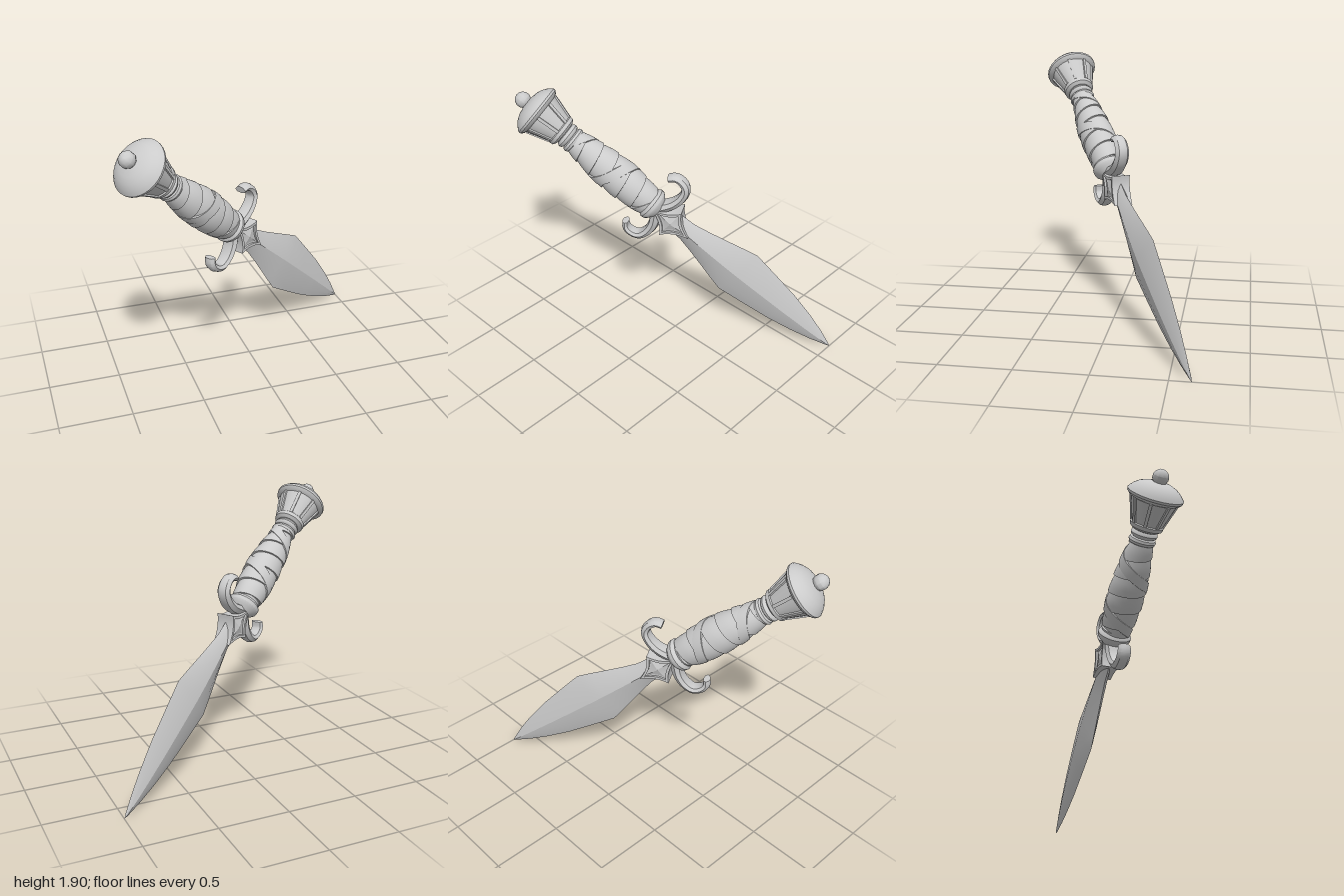
import * as THREE from 'three';
import { toCreasedNormals } from 'three/addons/utils/BufferGeometryUtils.js';

const material = new THREE.MeshStandardMaterial({ color: 0xcccccc, side: THREE.DoubleSide });

function add(parent, name, geometry, crease = 0.6) {
  const mesh = new THREE.Mesh(toCreasedNormals(geometry, crease), material);
  mesh.name = name;
  parent.add(mesh);
  return mesh;
}

// Skin a grid of cross-sections; closed sections wrap around
function loft(rings, closed = true) {
  const n = rings[0].length, index = [];
  for (let i = 0; i < rings.length - 1; i++) {
    for (let j = 0; j < (closed ? n : n - 1); j++) {
      const k = (j + 1) % n, a = i * n + j, b = i * n + k;
      index.push(a, a + n, b, b, a + n, b + n);
    }
  }
  const g = new THREE.BufferGeometry();
  g.setAttribute('position', new THREE.Float32BufferAttribute(rings.flat(2), 3));
  g.setIndex(index);
  return g;
}

const lathe = (points, sides = 32) =>
  new THREE.LatheGeometry(points.map(([r, y]) => new THREE.Vector2(r, y)), sides);

// Leaf-shaped blade: lens section with a middle ridge
function bladeGeometry() {
  const stations = [ // y, half width, half thickness
    [0, 0, 0], [0.03, 0.016, 0.008], [0.15, 0.062, 0.02], [0.3, 0.108, 0.031], [0.5, 0.155, 0.042],
    [0.72, 0.19, 0.05], [0.93, 0.221, 0.056], [1.04, 0.192, 0.056], [1.16, 0.157, 0.054],
    [1.3, 0.118, 0.05], [1.42, 0.089, 0.045], [1.6, 0.08, 0.042], [1.6, 0, 0],
  ];
  const section = [[1, 0], [0.55, 0.6], [0, 1], [-0.55, 0.6], [-1, 0], [-0.55, -0.6], [0, -1], [0.55, -0.6]];
  return loft(stations.map(([y, w, t]) => section.map(([x, z]) => [x * w, y, z * t])));
}

// Curled guard arm: ridged section swept along a hook
function armGeometry() {
  const path = new THREE.CatmullRomCurve3([
    [0.03, 1.69], [0.12, 1.645], [0.21, 1.635], [0.28, 1.66], [0.306, 1.72], [0.295, 1.77], [0.258, 1.8],
  ].map(([x, y]) => new THREE.Vector3(x, y, 0)));
  const rings = [], steps = 24;
  const section = [[1, 0], [0.75, 0.6], [0, 1], [-0.7, 0.75], [-0.9, 0], [-0.7, -0.75], [0, -1], [0.75, -0.6]];
  for (let i = 0; i <= steps + 2; i++) {
    const u = Math.min(Math.max(i - 1, 0) / steps, 1);
    const p = path.getPointAt(u), t = path.getTangentAt(u);
    const end = i === 0 || i === steps + 2 ? 0 : 1;
    const w = end * (0.045 - 0.019 * u), d = end * (0.062 - 0.016 * u);
    rings.push(section.map(([a, z]) => [p.x + t.y * a * w, p.y - t.x * a * w, z * d]));
  }
  return loft(rings);
}

// Four-pointed star with hollow sides
function starPath(target, s) {
  const tips = [[0.13, 0], [0, 0.165], [-0.13, 0], [0, -0.165]];
  target.moveTo(tips[0][0] * s, 0);
  for (let i = 0; i < 4; i++) {
    const [x0, y0] = tips[i], [x1, y1] = tips[(i + 1) % 4];
    target.quadraticCurveTo((x0 + x1) * 0.3 * s, (y0 + y1) * 0.3 * s, x1 * s, y1 * s);
  }
  return target;
}

function starGeometry(scale, depth, hole) {
  const shape = starPath(new THREE.Shape(), scale);
  if (hole) shape.holes.push(starPath(new THREE.Path(), hole));
  return new THREE.ExtrudeGeometry(shape, { depth, bevelEnabled: false, curveSegments: 8 })
    .translate(0, 1.565, -depth / 2);
}

// Grip silhouette
const GRIP0 = 1.77, GRIP1 = 2.47;
function gripRadius(y) {
  const t = (y - GRIP0) / (GRIP1 - GRIP0);
  return 0.098 - 0.02 * t + 0.043 * Math.sin(Math.PI * Math.pow(t, 0.9));
}

// Helical band hugging the grip; profile rows are [share of width, lift]
function wrapGeometry(pitch, width, profile, direction, start) {
  const rings = [], seg = 40;
  const from = Math.floor(-width / pitch) - 1, to = Math.ceil((GRIP1 - GRIP0) / pitch) + 1;
  for (let i = from * seg; i <= to * seg; i++) {
    const turn = i / seg, a = direction * turn * Math.PI * 2 + start;
    rings.push(profile.map(([v, lift]) => {
      const y = THREE.MathUtils.clamp(GRIP0 + pitch * turn + v * width, GRIP0, GRIP1);
      const r = gripRadius(y) + lift;
      return [Math.cos(a) * r, y, Math.sin(a) * r * 0.92];
    }));
  }
  return loft(rings, false);
}

export function createModel() {
  const model = new THREE.Group();
  model.name = 'dagger';
  // Built upright with the tip at the origin, then leaned into place
  const dagger = new THREE.Group();
  dagger.name = 'leaningDagger';
  model.add(dagger);

  add(dagger, 'blade', bladeGeometry(), 0.35);

  // Guard
  const guard = new THREE.Group();
  guard.name = 'guard';
  dagger.add(guard);
  add(guard, 'leftArm', armGeometry());
  add(guard, 'rightArm', armGeometry()).rotation.y = Math.PI;
  add(guard, 'starBlock', starGeometry(0.98, 0.105));
  add(guard, 'starRim', starGeometry(1, 0.135, 0.76));
  for (const side of [1, -1]) {
    // Low pyramid inside each star rim
    const outline = starPath(new THREE.Shape(), 0.72).getPoints(6).slice(0, -1);
    const rings = [[1, 0.05], [0, 0.068]].map(([s, z]) =>
      outline.map((p) => [p.x * s, 1.565 + p.y * s, z]));
    const boss = add(guard, 'starBoss', loft(rings), 0.3);
    if (side < 0) boss.rotation.y = Math.PI;
  }
  add(guard, 'collar', lathe([[0, 1.69], [0.07, 1.69], [0.1, 1.715], [0.117, 1.735], [0.12, 1.76],
    [0.108, 1.78], [0.1, 1.785], [0.106, 1.8], [0.095, 1.815], [0, 1.815]]));

  // Grip with overlapping wraps
  const grip = new THREE.Group();
  grip.name = 'grip';
  dagger.add(grip);
  const core = [];
  for (let i = 0; i <= 16; i++) {
    const y = GRIP0 + (GRIP1 - GRIP0) * i / 16;
    core.push([gripRadius(y) - 0.006, y]);
  }
  add(grip, 'gripCore', lathe(core)).scale.z = 0.92;
  add(grip, 'gripWrap', wrapGeometry(0.125, 0.13,
    [[0, -0.008], [0.02, 0.009], [0.35, 0.008], [0.7, 0.003], [1, -0.004]], -1, 0.6));
  add(grip, 'crossStrap', wrapGeometry(0.36, 0.085,
    [[0, -0.006], [0.06, 0.011], [0.5, 0.012], [0.94, 0.011], [1, -0.006]], 1, 2.2));

  // Neck rings between grip and pommel
  add(dagger, 'neckRings', lathe([[0.07, 2.44], [0.088, 2.45], [0.095, 2.468], [0.088, 2.485], [0.074, 2.492],
    [0.088, 2.502], [0.094, 2.518], [0.086, 2.534], [0.078, 2.54], [0.08, 2.56]]));

  // Pommel: flared drum, rim, dome and knob
  const pommel = new THREE.Group();
  pommel.name = 'pommel';
  dagger.add(pommel);
  add(pommel, 'pommelBody', lathe([[0, 2.545], [0.09, 2.545], [0.112, 2.56], [0.116, 2.585], [0.108, 2.592],
    [0.158, 2.752], [0.176, 2.76], [0.191, 2.776], [0.193, 2.792], [0.182, 2.806],
    [0.165, 2.824], [0.135, 2.846], [0.095, 2.863], [0.05, 2.871], [0.032, 2.874], [0.03, 2.89]]), 0.5);
  const ribs = 8;
  for (let i = 0; i < ribs; i++) {
    const turn = new THREE.Group();
    turn.name = 'pommelRib';
    turn.rotation.y = (i + 0.5) / ribs * Math.PI * 2;
    const rib = add(turn, 'rib', new THREE.BoxGeometry(0.02, 0.172, 0.022));
    rib.position.set(0.133, 2.672, 0);
    rib.rotation.z = -Math.atan2(0.05, 0.16);
    pommel.add(turn);
  }
  const knob = add(pommel, 'knob', new THREE.SphereGeometry(0.056, 10, 7), 0.7);
  knob.position.y = 2.905;

  // Lean: length runs up and to the right, flat of the blade stays vertical
  const along = new THREE.Vector3(-0.667, 0.625, 0.403).normalize();
  const flat = new THREE.Vector3().crossVectors(along, new THREE.Vector3(0, 1, 0)).normalize().negate();
  const across = new THREE.Vector3().crossVectors(along, flat);
  dagger.quaternion.setFromRotationMatrix(new THREE.Matrix4().makeBasis(across, along, flat));
  dagger.position.set(1, 0, -0.645);
  return model;
}
